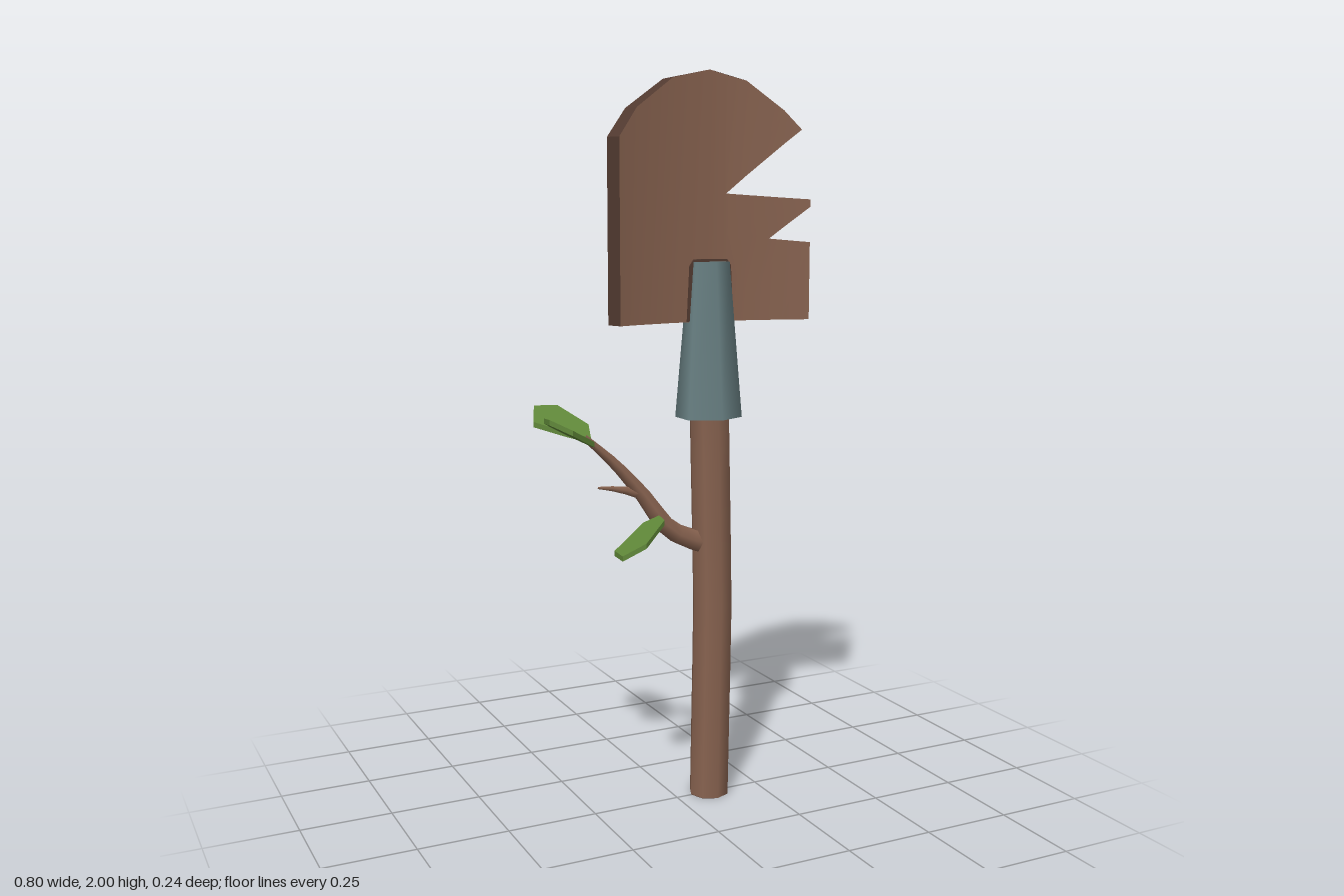
import * as THREE from 'three';
import { mergeVertices } from 'three/addons/utils/BufferGeometryUtils.js';

const mat = (name, color, side = THREE.FrontSide) => {
  const m = new THREE.MeshStandardMaterial({ color, side });
  m.name = name;
  return m;
};
const V = (x, y, z) => new THREE.Vector3(x, y, z);

export function createModel() {
  const group = new THREE.Group();
  const wood = mat('wood brown', 0x87624f);
  const dark = mat('dark brown', 0x523a30, THREE.DoubleSide);
  const metal = mat('grey blue', 0x6c8487);
  const green = mat('leaf green', 0x5f8738);

  const add = (name, geometry, material) => {
    const mesh = new THREE.Mesh(geometry, material);
    mesh.name = name;
    group.add(mesh);
    return mesh;
  };

  // Tube whose radius follows radiusAt(u)
  const taperedTube = (points, segments, sides, radiusAt) => {
    const curve = new THREE.CatmullRomCurve3(points);
    const g = new THREE.TubeGeometry(curve, segments, 1, sides);
    const p = g.attributes.position;
    const v = V(0, 0, 0);
    for (let i = 0; i < p.count; i++) {
      const u = Math.floor(i / (sides + 1)) / segments;
      const c = curve.getPointAt(u);
      v.fromBufferAttribute(p, i).sub(c).multiplyScalar(radiusAt(u)).add(c);
      p.setXYZ(i, v.x, v.y, v.z);
    }
    g.computeVertexNormals();
    const n = g.attributes.normal;
    // Rejoin the seam normals
    for (let r = 0; r <= segments; r++) {
      const a = r * (sides + 1), b = a + sides;
      v.fromBufferAttribute(n, a).add(V(n.getX(b), n.getY(b), n.getZ(b))).normalize();
      n.setXYZ(a, v.x, v.y, v.z);
      n.setXYZ(b, v.x, v.y, v.z);
    }
    return g;
  };

  // Handle with a slight bow
  add('handle', taperedTube([V(0.1, 0.004, 0), V(0.105, 0.3, 0), V(0.109, 0.55, 0),
    V(0.104, 0.8, 0), V(0.097, 1.1, 0)], 6, 8, () => 0.056), wood);
  const end = add('handleEnd', new THREE.CircleGeometry(0.055, 8), dark);
  end.rotation.x = Math.PI / 2;
  end.position.set(0.1, 0.003, 0);

  // Side branch and twig
  add('branch', taperedTube([V(0.09, 0.73, 0), V(0.02, 0.755, 0), V(-0.03, 0.785, 0),
    V(-0.1, 0.88, -0.008), V(-0.18, 0.97, -0.01), V(-0.27, 1.05, -0.005)], 10, 6,
    (u) => 0.034 - 0.025 * u), wood);
  add('twig', taperedTube([V(-0.11, 0.885, -0.008), V(-0.17, 0.902, -0.005), V(-0.235, 0.912, 0)],
    3, 5, (u) => 0.015 - 0.012 * u), wood);

  // Socket: six-sided cone, with corners at front and back
  const cone = new THREE.CylinderGeometry(1, 1, 0.42, 6, 1, true);
  const top = new THREE.CircleGeometry(1, 6);
  top.rotateZ(Math.PI / 2).rotateX(-Math.PI / 2).translate(0, 0.21, 0);
  const base = new THREE.CircleGeometry(1, 6);
  base.rotateZ(Math.PI / 2).rotateX(Math.PI / 2).translate(0, -0.21, 0);
  const parts = [['socket', cone, metal], ['socketTop', top, metal], ['socketUnderside', base, dark]];
  for (const [name, g, m] of parts) {
    const p = g.attributes.position;
    for (let i = 0; i < p.count; i++) {
      const t = (p.getY(i) + 0.21) / 0.42;
      p.setX(i, p.getX(i) * (0.081 - 0.03 * t) / 0.866);
      p.setZ(i, p.getZ(i) * (0.082 - 0.038 * t));
    }
    add(name, g, m).position.set(0.098, 1.29, -0.006);
  }

  // Blade: convex pieces cut into vertical bands and bent across the width
  const MID = 0.098;
  const cuts = [-0.2, -0.14, -0.02, MID, 0.21, 0.32, 0.396];
  const bent = (x, y, front) => {
    const d = (x - MID) / 0.298;
    return front ? [MID + (x - MID) * 0.95, y, -0.005 + 0.05 * d * d] : [x, y, -0.053 + 0.053 * d * d];
  };
  const outline = [[-0.2, 1.34], [0.396, 1.34], [0.396, 1.55], [0.28, 1.56], [0.396, 1.645],
    [0.396, 1.665], [0.15, 1.68], [0.37, 1.85], [0.32, 1.9], [0.21, 1.975], [0.098, 2],
    [-0.02, 1.975], [-0.14, 1.895], [-0.2, 1.82]];
  const pieces = [
    [[-0.2, 1.34], [0.15, 1.34], [0.15, 1.988], ...outline.slice(10)],
    [[0.15, 1.34], [0.396, 1.34], [0.396, 1.55], [0.28, 1.56], [0.15, 1.56]],
    [[0.15, 1.56], [0.28, 1.56], [0.396, 1.645], [0.396, 1.665], [0.15, 1.68]],
    [[0.15, 1.68], [0.37, 1.85], [0.32, 1.9], [0.21, 1.975], [0.15, 1.988]],
  ];
  // Keep the part of a polygon where sign * (x - cut) >= 0
  const clip = (poly, cut, sign) => poly.flatMap((a, i) => {
    const b = poly[(i + 1) % poly.length];
    const da = sign * (a[0] - cut), db = sign * (b[0] - cut);
    const out = da >= 0 ? [a] : [];
    if (da * db < 0) out.push([cut, a[1] + (b[1] - a[1]) * da / (da - db)]);
    return out;
  });
  const faces = [], walls = [];
  for (const piece of pieces) {
    for (let k = 0; k < cuts.length - 1; k++) {
      const q = clip(clip(piece, cuts[k], 1), cuts[k + 1], -1);
      for (let i = 1; i < q.length - 1; i++) {
        const tri = [q[0], q[i], q[i + 1]];
        const area = (tri[1][0] - tri[0][0]) * (tri[2][1] - tri[0][1])
          - (tri[2][0] - tri[0][0]) * (tri[1][1] - tri[0][1]);
        if (Math.abs(area) < 1e-7) continue;
        for (const c of tri) faces.push(...bent(...c, true));
        for (const c of tri.reverse()) faces.push(...bent(...c, false));
      }
    }
  }
  // Dark rim, divided at the same bands
  outline.forEach((a, i) => {
    const b = outline[(i + 1) % outline.length];
    const ts = cuts.map((c) => (c - a[0]) / (b[0] - a[0])).filter((t) => t > 0.001 && t < 0.999);
    const stops = [0, ...ts.sort((m, n) => m - n), 1];
    const at = (t) => [a[0] + (b[0] - a[0]) * t, a[1] + (b[1] - a[1]) * t];
    for (let k = 0; k < stops.length - 1; k++) {
      const p = at(stops[k]), q = at(stops[k + 1]);
      const [pf, pb, qf, qb] = [bent(...p, true), bent(...p, false), bent(...q, true), bent(...q, false)];
      walls.push(...pf, ...pb, ...qb, ...pf, ...qb, ...qf);
    }
  });
  const fromTriangles = (list, smooth) => {
    let g = new THREE.BufferGeometry();
    g.setAttribute('position', new THREE.Float32BufferAttribute(list, 3));
    if (smooth) g = mergeVertices(g, 1e-4);
    g.computeVertexNormals();
    return g;
  };
  add('blade', fromTriangles(faces, true), wood);
  add('bladeRim', fromTriangles(walls, false), dark);

  // Dark border on the blade around the socket
  const border = new THREE.Shape([[-0.07, 1.341], [0.07, 1.341], [0.062, 1.49], [0.05, 1.507],
    [-0.05, 1.507], [-0.062, 1.49]].map(([x, y]) => new THREE.Vector2(x + MID, y)));
  add('socketBorder', new THREE.ExtrudeGeometry(border, { depth: 0.009, bevelEnabled: false }), dark)
    .position.z = -0.006;

  // Leaves: thin plates drawn in plan (x, z) and tilted by a height rule
  const leaf = (name, plan, height) => {
    const shape = new THREE.Shape(plan.map(([x, z]) => new THREE.Vector2(x, -z)));
    const g = new THREE.ExtrudeGeometry(shape, { depth: 0.014, bevelEnabled: false });
    g.rotateX(-Math.PI / 2);
    const p = g.attributes.position;
    for (let i = 0; i < p.count; i++) p.setY(i, p.getY(i) - 0.007 + height(p.getX(i), p.getZ(i)));
    g.computeVertexNormals();
    add(name, g, green);
  };
  leaf('backLeaf', [[-0.365, -0.12], [-0.3, -0.117], [-0.24, -0.045], [-0.252, 0], [-0.31, -0.025],
    [-0.387, -0.065]], (x, z) => 1.04 - 0.65 * z);
  leaf('frontLeaf', [[-0.3, -0.03], [-0.252, -0.002], [-0.267, 0.06], [-0.347, 0.11], [-0.4, 0.085],
    [-0.39, 0.02]], (x) => 1.03 - 0.52 * (x + 0.25));
  leaf('lowerLeaf', [[-0.203, 0.09], [-0.146, 0.116], [-0.07, 0.066], [-0.064, 0.02], [-0.1, -0.005],
    [-0.2, 0.03]], (x) => 0.815 + 0.6 * (x + 0.07));

  return group;
}
